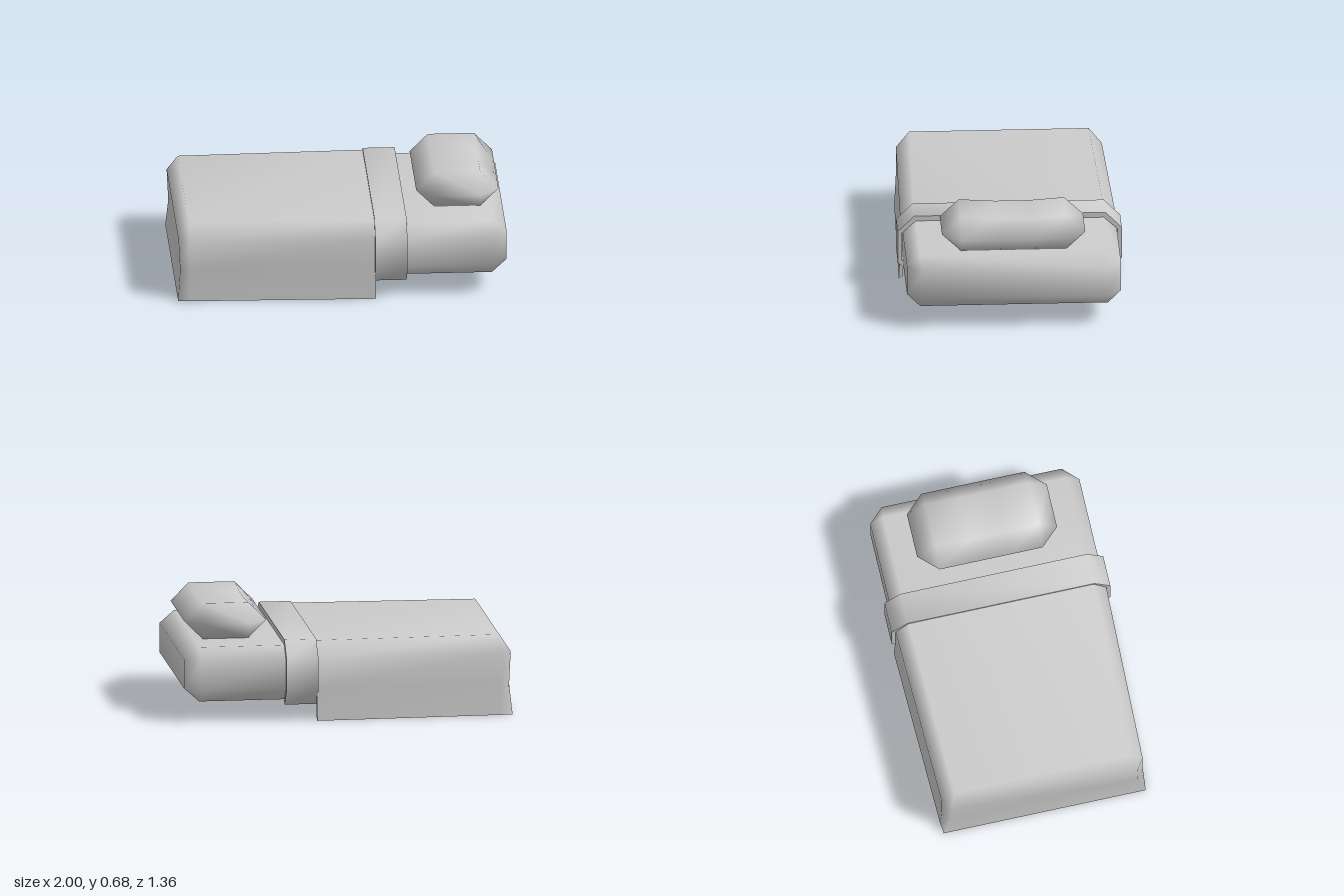
import * as THREE from 'three';
import { mergeVertices, mergeGeometries, toCreasedNormals } from 'three/addons/utils/BufferGeometryUtils.js';

// Triangles of a grid of points; zero-area triangles are dropped
function grid(rows, out = []) {
  const push = (...pts) => {
    const [a, b, c] = pts.map((p) => new THREE.Vector3(...p));
    if (new THREE.Triangle(a, b, c).getArea() > 1e-7) out.push(...pts.flat());
  };
  for (let i = 0; i < rows.length - 1; i++) {
    for (let j = 0; j < rows[i].length - 1; j++) {
      const p = rows[i][j], q = rows[i + 1][j], r = rows[i + 1][j + 1], s = rows[i][j + 1];
      push(p, q, r);
      push(p, r, s);
    }
  }
  return out;
}

// Welded, smooth-shaded surface from one or more grids
function surface(...grids) {
  const positions = [];
  grids.forEach((rows) => grid(rows, positions));
  let geo = new THREE.BufferGeometry();
  geo.setAttribute('position', new THREE.Float32BufferAttribute(positions, 3));
  geo = mergeVertices(geo, 1e-4);
  geo.computeVertexNormals();
  return geo;
}

// Completes a half section (+z side, bottom to top) across the bed
const flip = ([x, y, z]) => [x, y, -z];
const arch = (half) => [...half, ...half.map(flip).reverse()];
const pair = (p) => [p, flip(p)];

function mattressGeometry() {
  const body = (x) => [[x, 0.12, 0.57], [x, 0.2, 0.65], [x, 0.38, 0.65], [x, 0.455, 0.57]];
  const low = [1, 0.2, 0.56], high = [1, 0.38, 0.56];
  return surface(
    [arch(body(0.37)), arch(body(0.91)), arch([low, low, high, high])],
    [pair(high), pair(low), pair([0.91, 0.12, 0.57])]
  );
}

// One layer of the blanket: t is the inset from the outer skin
function blanketLayer(t) {
  const side = (x, w) => [
    [x, t * 0.6, w - t], [x, 0.2, w - 0.01 - t], [x, 0.38, w - 0.01 - t], [x, 0.48 - t, w - 0.09 - t * 0.5]
  ];
  const foot = [
    [-1 + t, t * 0.6, 0.628 - t], [-0.985 + t, 0.18, 0.58 - t], [-0.995 + t, 0.38, 0.58 - t], [-0.995 + t, 0.38, 0.58 - t]
  ];
  const head = side(0.2, 0.665), bend = side(-0.93, 0.635);
  const rows = [foot, bend, head].map(arch);
  const cap = foot.slice(0, 3).map(pair);
  cap.push(pair(bend[3]));
  // The top row of the foot cap folds over the chamfer between foot and top
  rows[0][3] = foot[3];
  const topOnly = [rows[0].slice(0, 4), rows[1].slice(0, 4)];
  const topOnlyFar = [rows[0].slice(4), rows[1].slice(4)];
  return {
    grids: [[rows[1], rows[2]], topOnly, topOnlyFar, cap],
    end: rows[2],
    hem: [head[0], bend[0], foot[0], flip(foot[0]), flip(bend[0]), flip(head[0])]
  };
}

function blanketGeometry() {
  const outer = blanketLayer(0), inner = blanketLayer(0.025);
  const parts = [
    surface(...outer.grids),
    surface(...inner.grids.map((rows) => [...rows].reverse())),
    surface([outer.end, inner.end]),
    surface([outer.hem, inner.hem].reverse())
  ];
  return mergeGeometries(parts);
}

function foldGeometry() {
  const outer = [[0.59, 0.09], [0.68, 0.19], [0.68, 0.39], [0.58, 0.49]];
  const inner = [[0.57, 0.11], [0.655, 0.2], [0.655, 0.38], [0.57, 0.458]];
  const across = (half) => [...half, ...half.map(([z, y]) => [-z, y]).reverse()];
  const outline = [...across(outer), ...across(inner).reverse()];
  const shape = new THREE.Shape(outline.map((p) => new THREE.Vector2(...p)));
  const geo = new THREE.ExtrudeGeometry(shape, { depth: 0.195, bevelEnabled: false });
  geo.rotateY(Math.PI / 2).translate(0.195, 0, 0);
  return toCreasedNormals(geo, 0.9);
}

function pillowGeometry() {
  const cx = 0.715, mid = 0.565;
  // Sections across the pillow: z, top, bottom, half width
  const rows = [
    [-0.435, mid, mid, 0.14], [-0.32, 0.675, 0.455, 0.25], [-0.1, 0.66, 0.455, 0.25],
    [0.1, 0.66, 0.455, 0.25], [0.32, 0.675, 0.455, 0.25], [0.435, mid, mid, 0.14]
  ].map(([z, top, bottom, w]) => [
    [cx - w, mid, z], [cx - 0.14, top, z], [cx + 0.14, top, z],
    [cx + w, mid, z], [cx + 0.14, bottom, z], [cx - 0.14, bottom, z], [cx - w, mid, z]
  ]);
  return surface(rows);
}

export function createModel() {
  const group = new THREE.Group();
  group.name = 'bed';
  const material = new THREE.MeshStandardMaterial({ color: 0xcccccc, side: THREE.DoubleSide });
  const parts = {
    mattress: mattressGeometry(),
    blanket: blanketGeometry(),
    blanketFold: foldGeometry(),
    pillow: pillowGeometry()
  };
  for (const [name, geo] of Object.entries(parts)) {
    const mesh = new THREE.Mesh(geo, material);
    mesh.name = name;
    group.add(mesh);
  }
  return group;
}
